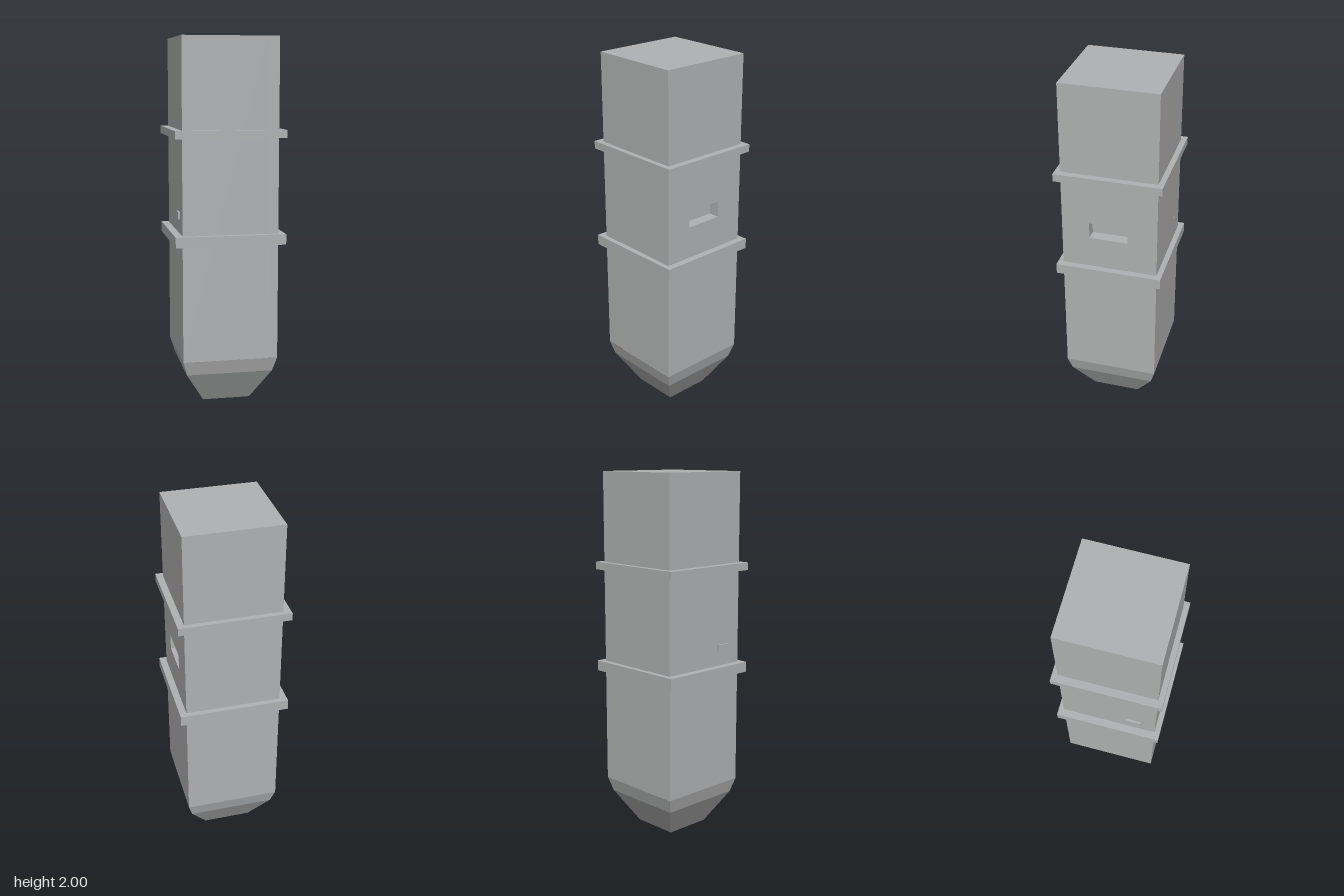
import * as THREE from 'three';

export function createModel() {
  const group = new THREE.Group();
  group.name = 'silo';
  const steel = new THREE.MeshStandardMaterial({ color: 0xb0b1b2 });
  steel.name = 'grey steel';

  const HALF = 0.261;   // half width of the square shaft
  const CX = 0.002;     // shaft centre
  const DEPTH = 0.062;  // depth of the recessed opening
  const BASE = 0.26, TOP = 2;

  function add(name, geometry, x, y, z) {
    const mesh = new THREE.Mesh(geometry, steel);
    mesh.name = name;
    mesh.position.set(x, y, z);
    group.add(mesh);
    return mesh;
  }

  // Box given by its limits on each axis
  function box(name, [x0, x1], [y0, y1], [z0, z1]) {
    return add(name, new THREE.BoxGeometry(x1 - x0, y1 - y0, z1 - z0),
      (x0 + x1) / 2, (y0 + y1) / 2, (z0 + z1) / 2);
  }

  // Square frustum given by half widths
  function frustum(name, bottom, top, y0, y1, open) {
    const g = new THREE.CylinderGeometry(top * Math.SQRT2, bottom * Math.SQRT2, y1 - y0, 4, 1, open)
      .rotateY(Math.PI / 4).toNonIndexed();
    g.computeVertexNormals();
    return add(name, g, CX, (y0 + y1) / 2, 0.001);
  }

  // Shaft core, leaving room for the pierced wall
  box('shaft', [CX - HALF, CX + HALF - DEPTH], [BASE, TOP], [-HALF, HALF]);

  // Left-hand wall with a rectangular opening
  const wall = new THREE.Shape([
    new THREE.Vector2(-HALF, BASE), new THREE.Vector2(HALF, BASE),
    new THREE.Vector2(HALF, TOP), new THREE.Vector2(-HALF, TOP),
  ]);
  // shape x becomes -z after the turn
  wall.holes.push(new THREE.Path([
    new THREE.Vector2(-0.11, 1.13), new THREE.Vector2(-0.11, 1.22),
    new THREE.Vector2(0.1, 1.22), new THREE.Vector2(0.1, 1.13),
  ]));
  const wallGeometry = new THREE.ExtrudeGeometry(wall, { depth: DEPTH, bevelEnabled: false });
  wallGeometry.rotateY(Math.PI / 2);
  add('piercedWall', wallGeometry, CX + HALF - DEPTH, 0, 0);

  // Tapered foot in two slopes
  frustum('upperTaper', 0.238, HALF, 0.18, BASE, true);
  frustum('lowerTaper', 0.132, 0.238, 0, 0.18, false);

  // Flanges around the shaft
  box('lowerFlange', [-0.3, 0.3], [0.895, 0.952], [-0.29, 0.29]);
  box('upperFlange', [-0.3, 0.3], [1.468, 1.51], [-0.29, 0.29]);

  // Small side plate and back tab
  box('sidePlate', [-0.27, -0.25], [1.033, 1.07], [0.1, 0.18]);
  box('backTab', [-0.147, -0.133], [1.077, 1.083], [-0.264, -0.25]);

  return group;
}
